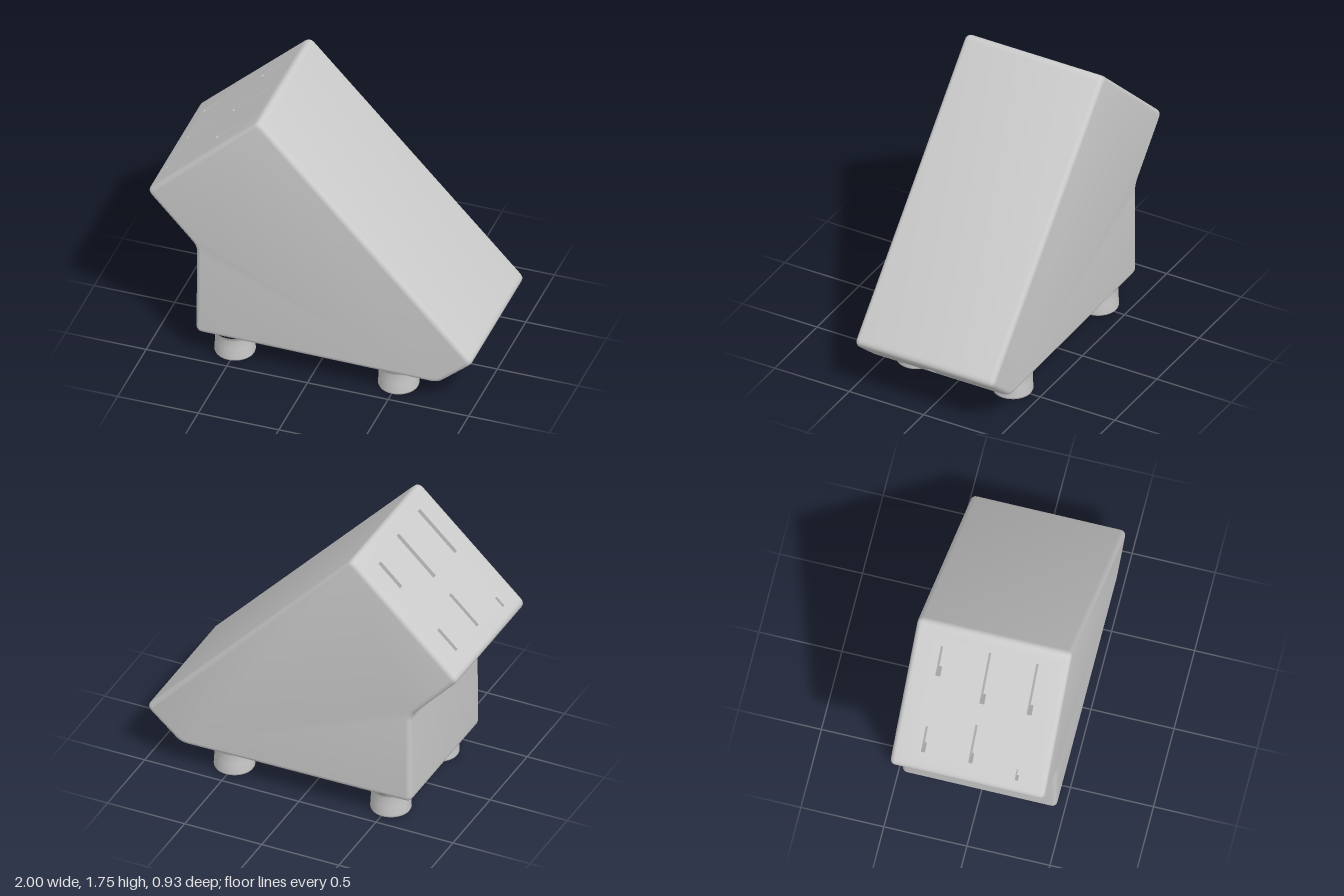
import * as THREE from 'three';
import { mergeGeometries, toCreasedNormals } from 'three/addons/utils/BufferGeometryUtils.js';

const HALF = 0.435;   // half depth of the flat walls, before the bevel
const BEVEL = 0.03;
const CUT = 0.045;    // how far each corner rounding reaches along its edges

// side outline of the block, counter-clockwise
const outline = [
  [-0.71, 0.17], [0.79, 0.155], [1.016, 0.35],
  [-0.32, 1.77], [-1.016, 1.115], [-0.705, 0.78],
].map(([x, y]) => new THREE.Vector2(x, y));

// slots per outline edge: [x from, x to, z, width, depth]
const slots = {
  3: [ // knife openings in the slanted face
    [-0.92, -0.80, -0.285, 0.025, 0.15], [-0.56, -0.42, -0.285, 0.03, 0.15],
    [-0.92, -0.74, 0, 0.025, 0.15], [-0.64, -0.40, 0, 0.03, 0.15],
    [-0.95, -0.90, 0.285, 0.02, 0.08], [-0.64, -0.40, 0.285, 0.03, 0.15],
  ],
  0: [ // slits underneath
    [0.05, 0.17, -0.28, 0.02, 0.04], [0.10, 0.30, 0, 0.02, 0.04],
    [-0.05, 0.10, 0.285, 0.02, 0.04], [-0.62, -0.45, 0, 0.02, 0.04],
  ],
  1: [[0.86, 0.93, 0, 0.025, 0.05]], // notch in the lower end
};

// the straight part of an outline edge
function edge(i) {
  const a = outline[i], b = outline[(i + 1) % outline.length];
  const dir = b.clone().sub(a).normalize();
  return {
    dir,
    start: a.clone().addScaledVector(dir, CUT),
    length: a.distanceTo(b) - 2 * CUT,
    normal: new THREE.Vector2(dir.y, -dir.x),
  };
}

function rect(target, x0, x1, y0, y1) {
  target.moveTo(x0, y0).lineTo(x1, y0).lineTo(x1, y1).lineTo(x0, y1).closePath();
  return target;
}

// open box seen from inside
function pocket(w, h, depth) {
  const geo = new THREE.BoxGeometry(w, h, depth).translate(0, 0, -depth / 2);
  const index = [...geo.index.array];
  index.splice(24, 6);
  geo.setIndex(index.reverse());
  return geo;
}

// flat wall of one edge with its slots
function slottedWall(i) {
  const e = edge(i);
  const shape = rect(new THREE.Shape(), 0, e.length, -HALF, HALF);
  const parts = [];
  for (const [xa, xb, z, w, depth] of slots[i]) {
    const [u0, u1] = [xa, xb].map(x => (x - e.start.x) / e.dir.x).sort((p, q) => p - q);
    shape.holes.push(rect(new THREE.Path(), u0, u1, z - w / 2, z + w / 2));
    parts.push(pocket(u1 - u0, w, depth).translate((u0 + u1) / 2, z, 0));
  }
  parts.push(new THREE.ShapeGeometry(shape));
  const frame = new THREE.Matrix4().makeBasis(
    new THREE.Vector3(e.dir.x, e.dir.y, 0),
    new THREE.Vector3(0, 0, 1),
    new THREE.Vector3(e.normal.x, e.normal.y, 0),
  ).setPosition(e.start.x, e.start.y, 0);
  return parts.map(g => g.toNonIndexed().applyMatrix4(frame));
}

// bevelled shell, leaving out the walls that carry slots
function shell() {
  const shape = new THREE.Shape();
  outline.forEach((p, i) => {
    const before = outline[(i + outline.length - 1) % outline.length];
    const inPt = p.clone().addScaledVector(before.clone().sub(p).normalize(), CUT);
    const outPt = edge(i).start;
    if (i === 0) shape.moveTo(inPt.x, inPt.y);
    else shape.lineTo(inPt.x, inPt.y);
    shape.quadraticCurveTo(p.x, p.y, outPt.x, outPt.y);
  });
  shape.closePath();
  const geo = new THREE.ExtrudeGeometry(shape, {
    depth: 2 * HALF, curveSegments: 6, bevelEnabled: true, bevelSegments: 4,
    bevelSize: BEVEL, bevelThickness: BEVEL, bevelOffset: -BEVEL,
  }).translate(0, 0, -HALF);

  const open = Object.keys(slots).map(i => edge(Number(i)));
  const pos = geo.attributes.position;
  const onWall = (k, e) => Math.abs(pos.getZ(k)) < HALF + 1e-4 &&
    Math.abs((pos.getX(k) - e.start.x) * e.normal.x + (pos.getY(k) - e.start.y) * e.normal.y) < 1e-4;
  const kept = [];
  for (let k = 0; k < pos.count; k += 3) {
    if (open.some(e => [k, k + 1, k + 2].every(v => onWall(v, e)))) continue;
    for (let v = k; v < k + 3; v++) kept.push(pos.getX(v), pos.getY(v), pos.getZ(v));
  }
  const result = new THREE.BufferGeometry();
  result.setAttribute('position', new THREE.Float32BufferAttribute(kept, 3));
  return result;
}

export function createModel() {
  const group = new THREE.Group();
  const material = new THREE.MeshStandardMaterial({ color: 0xcccccc });

  // slanted block
  const pieces = [shell(), ...Object.keys(slots).flatMap(i => slottedWall(Number(i)))];
  for (const g of pieces) {
    g.deleteAttribute('uv');
    g.deleteAttribute('normal');
  }
  const block = new THREE.Mesh(toCreasedNormals(mergeGeometries(pieces), 0.6), material);
  block.name = 'block';
  group.add(block);

  // four round feet, flared where they meet the block
  const profile = [
    [0, 0], [0.105, 0], [0.117, 0.004], [0.122, 0.016],
    [0.118, 0.08], [0.119, 0.14], [0.126, 0.158], [0.135, 0.172],
  ].map(([r, y]) => new THREE.Vector2(r, y));
  const footGeometry = new THREE.LatheGeometry(profile, 32);
  for (const x of [-0.51, 0.505]) {
    for (const z of [-0.318, 0.328]) {
      const foot = new THREE.Mesh(footGeometry, material);
      foot.name = 'foot';
      foot.position.set(x, 0, z);
      group.add(foot);
    }
  }
  return group;
}
